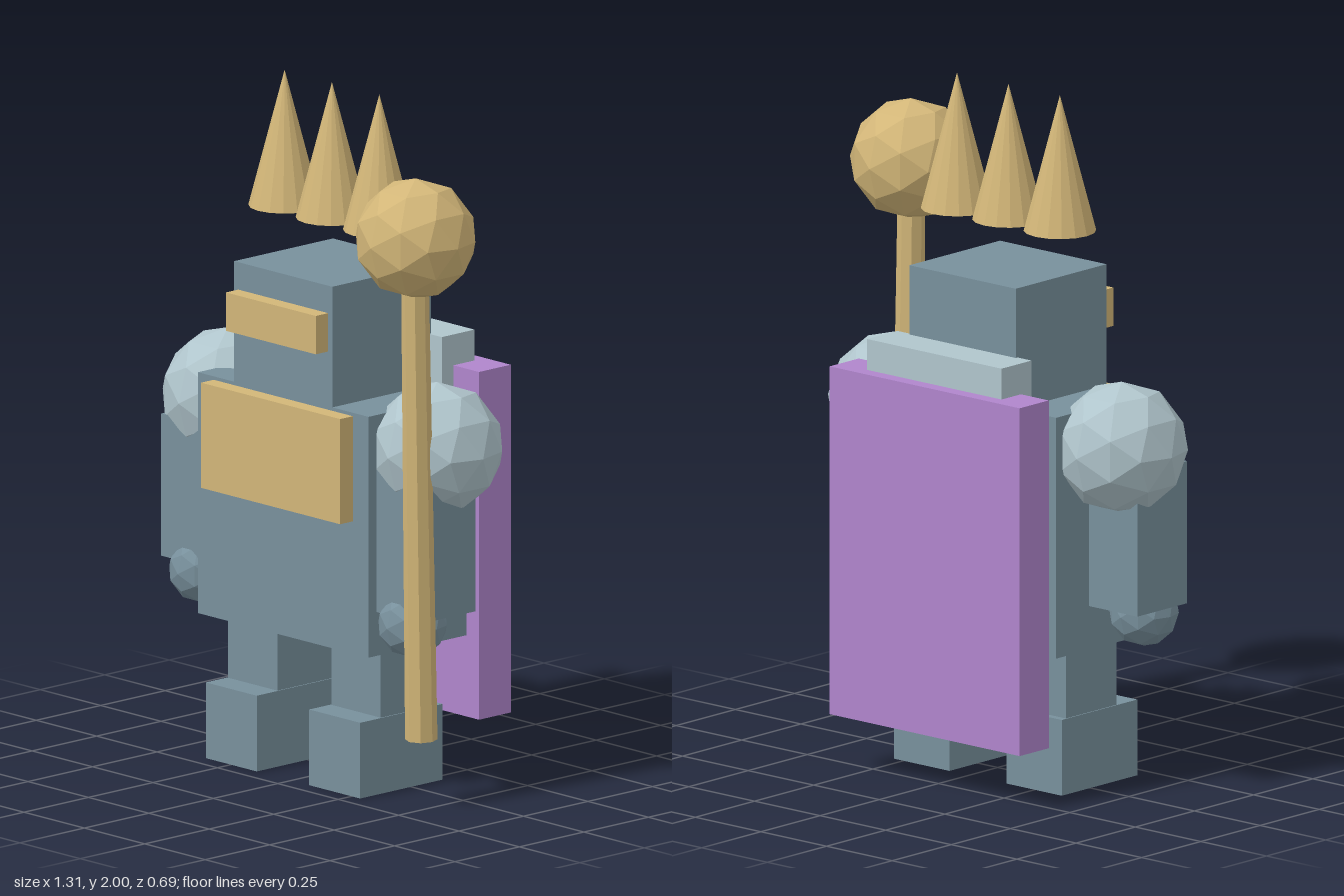
import * as THREE from 'three';

const paint = (name, color) => {
  const m = new THREE.MeshStandardMaterial({ color });
  m.name = name;
  m.flatShading = true;
  return m;
};

export function createModel() {
  const steel = paint('steel blue', 0x78909c);
  const pale = paint('pale steel', 0xb0c5cc);
  const gold = paint('gold', 0xd2b678);
  const purple = paint('purple', 0xb085cc);

  const model = new THREE.Group();
  model.name = 'armouredFigure';
  const midX = -0.034; // the body's mirror plane

  const add = (name, geometry, material, x, y, z) => {
    const mesh = new THREE.Mesh(geometry, material);
    mesh.name = name;
    mesh.position.set(x, y, z);
    model.add(mesh);
    return mesh;
  };
  // Box centred on x, spanning y0..y1 and z0..z1
  const box = (name, material, x, width, y0, y1, z0, z1) =>
    add(name, new THREE.BoxGeometry(width, y1 - y0, z1 - z0), material, x, (y0 + y1) / 2, (z0 + z1) / 2);
  const ball = (name, material, r, x, y, z) =>
    add(name, new THREE.IcosahedronGeometry(r, 1), material, x, y, z);

  // Trunk and head
  box('torso', steel, midX, 0.706, 0.417, 1.12, -0.182, 0.197);
  box('head', steel, midX, 0.406, 1.1, 1.472, -0.186, 0.197);
  box('visor', gold, midX, 0.372, 1.28, 1.392, 0.18, 0.245);
  box('chestPlate', gold, midX, 0.576, 0.803, 1.11, 0.18, 0.246);

  // Cape and collar behind the back
  box('cape', purple, midX, 0.724, 0.165, 1.18, -0.346, -0.223);
  box('collar', pale, midX, 0.512, 0.963, 1.27, -0.305, -0.178);

  // Paired limbs
  for (const [side, s] of [['left', 1], ['right', -1]]) {
    const legX = midX + s * 0.214;
    const armX = midX + s * 0.433;
    box(side + 'Leg', steel, legX, 0.204, 0.2, 0.45, -0.1, 0.115);
    box(side + 'Boot', steel, legX, 0.211, 0, 0.221, -0.121, 0.198);
    box(side + 'Arm', steel, armX, 0.21, 0.545, 0.96, -0.044, 0.166);
    ball(side + 'Shoulder', pale, 0.191, armX, 1.013, 0.006);
    ball(side + 'Hand', steel, 0.1, armX, 0.516, 0.101);
  }

  // Floating crown spikes
  for (let i = -1; i <= 1; i++) {
    add('crownSpike', new THREE.ConeGeometry(0.103, 0.395, 16), gold, midX + i * 0.196, 1.8025, 0.008);
  }

  // Staff, leaning slightly forward, with its orb
  const shaft = add('staffShaft', new THREE.CylinderGeometry(0.039, 0.046, 1.42, 8), gold, 0.481, 0.91, 0.157);
  shaft.rotation.x = 0.018;
  ball('staffOrb', gold, 0.175, 0.481, 1.666, 0.166);

  return model;
}
